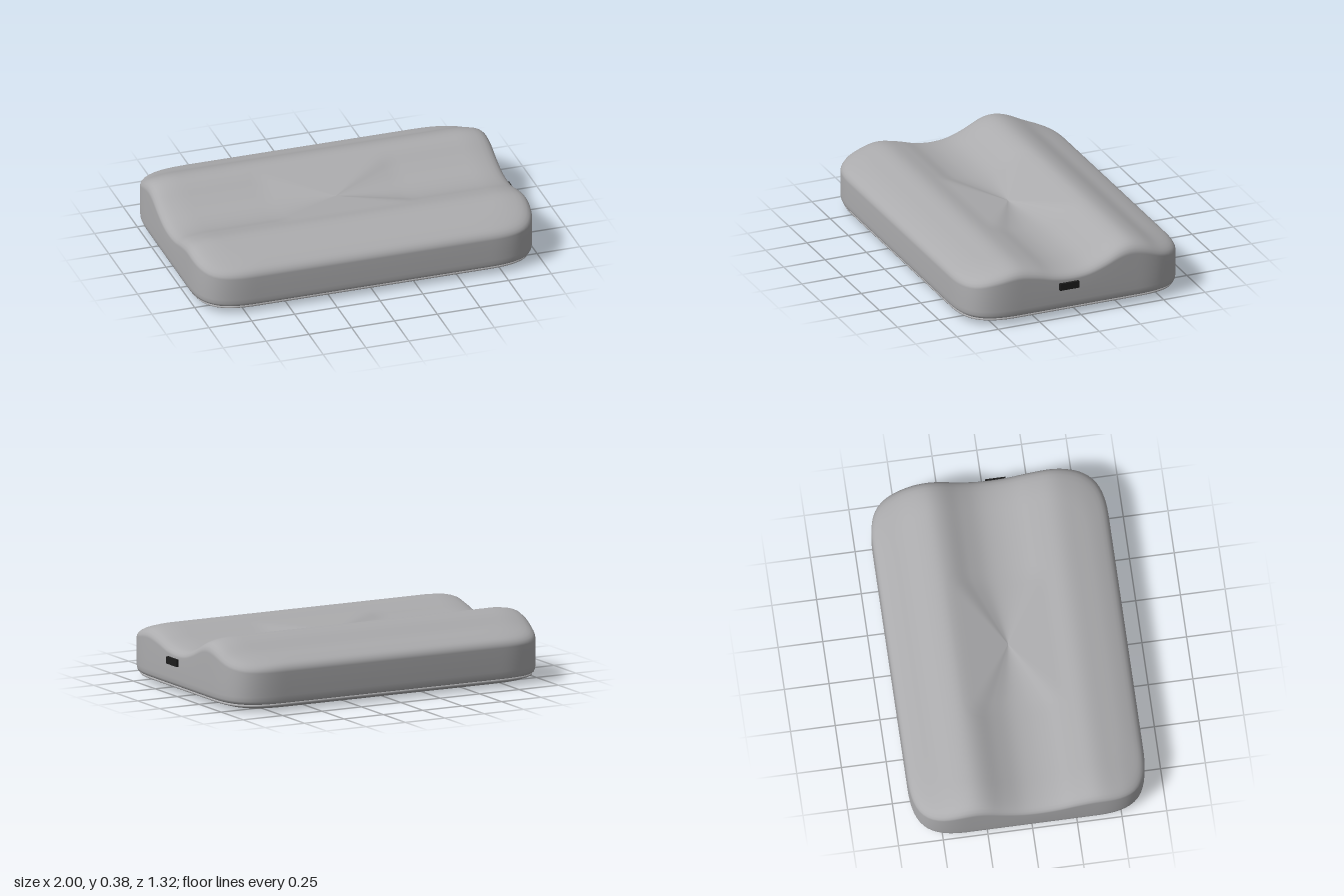
import * as THREE from 'three';

const HALF_X = 0.992, HALF_Z = 0.66, CENTER_X = -0.007;
const SEGMENTS = 200;

// Height of the cushion along z: tall back lobe, valley, lower front lobe
const PROFILE = [
  [-0.67, 0.278], [-0.6, 0.287], [-0.5, 0.315], [-0.4, 0.36], [-0.32, 0.378], [-0.25, 0.364],
  [-0.15, 0.313], [-0.05, 0.276], [0.05, 0.267], [0.15, 0.28], [0.25, 0.311],
  [0.37, 0.333], [0.5, 0.309], [0.6, 0.282], [0.67, 0.268],
];

// Smooth cubic interpolation through the profile points
function profileHeight(z) {
  const p = PROFILE, last = p.length - 1;
  let i = 0;
  while (i < last - 1 && z > p[i + 1][0]) i++;
  const slope = (k) => {
    const a = p[Math.max(k - 1, 0)], b = p[Math.min(k + 1, last)];
    return (b[1] - a[1]) / (b[0] - a[0]);
  };
  const w = p[i + 1][0] - p[i][0];
  const t = THREE.MathUtils.clamp((z - p[i][0]) / w, 0, 1);
  const t2 = t * t, t3 = t2 * t;
  return (2 * t3 - 3 * t2 + 1) * p[i][1] + (t3 - 2 * t2 + t) * w * slope(i)
    + (3 * t2 - 2 * t3) * p[i + 1][1] + (t3 - t2) * w * slope(i + 1);
}

// Rounded rectangular plan with soft, gradual corners
function planOutline() {
  const X = HALF_X, Z = HALF_Z, d = 0.3, c = 0.075;
  const s = new THREE.Shape();
  s.moveTo(X, 0);
  s.lineTo(X, Z - d);
  s.bezierCurveTo(X, Z - c, X - c, Z, X - d, Z);
  s.lineTo(-X + d, Z);
  s.bezierCurveTo(-X + c, Z, -X, Z - c, -X, Z - d);
  s.lineTo(-X, -Z + d);
  s.bezierCurveTo(-X, -Z + c, -X + c, -Z, -X + d, -Z);
  s.lineTo(X - d, -Z);
  s.bezierCurveTo(X - c, -Z, X, -Z + c, X, -Z + d);
  s.lineTo(X, 0);
  return s.getSpacedPoints(SEGMENTS).slice(0, SEGMENTS);
}

// Skin over scaled copies of the plan; each ring is [scale, height or height(z, outlinePoint)]
function ringShell(outline, rings) {
  const positions = [], index = [], n = outline.length;
  rings.forEach(([scale, height], r) => {
    outline.forEach((p, i) => {
      const z = p.y * scale;
      positions.push(p.x * scale + CENTER_X, typeof height === 'number' ? height : height(z, p), z);
      if (r === rings.length - 1) return;
      const a = r * n + i, b = r * n + (i + 1) % n;
      if (scale > 0) index.push(a, a + n, b);
      if (rings[r + 1][0] > 0) index.push(b, a + n, b + n);
    });
  });
  const g = new THREE.BufferGeometry();
  g.setAttribute('position', new THREE.Float32BufferAttribute(positions, 3));
  g.setIndex(index);
  g.computeVertexNormals();
  return g;
}

export function createModel() {
  const group = new THREE.Group();
  const fabric = new THREE.MeshStandardMaterial({ color: 0xacacae });
  fabric.name = 'grey fabric';
  const black = new THREE.MeshStandardMaterial({ color: 0x1c1c1c });
  black.name = 'black label';

  const add = (name, geometry, material) => {
    const m = new THREE.Mesh(geometry, material);
    m.name = name;
    group.add(m);
    return m;
  };
  const outline = planOutline();

  // Cushion: side wall, rounded rim, contoured top
  const wall = [[0.968, 0.046], [0.984, 0.047], [0.993, 0.053], [0.998, 0.066], [1, 0.09], [1, 0.15]];
  const rim = [[1, 0.8], [0.997, 0.845], [0.988, 0.89], [0.972, 0.93], [0.95, 0.957], [0.92, 0.978],
    [0.88, 0.992], [0.84, 1]].map(([s, k]) => [s, (z) => profileHeight(z) * k]);
  const top = [];
  for (let s = 0.8; s > 0.4; s -= 0.04) top.push([s, profileHeight]);
  // Dimple in the middle: straight slopes from an inner ring to a single point
  const inner = 0.39, middle = 0.28;
  for (let k = 8; k >= 0; k--) {
    const t = k / 8;
    top.push([inner * t, (z, p) => THREE.MathUtils.lerp(middle, profileHeight(p.y * inner), t)]);
  }
  add('cushion', ringShell(outline, [...wall, ...rim, ...top]), fabric);

  // Piping around the lower edge
  add('piping', ringShell(outline, [[0.962, 0.031], [0.976, 0.031], [0.982, 0.034], [0.984, 0.038],
    [0.982, 0.043], [0.976, 0.046], [0.962, 0.047]]), fabric);

  // Gently bulging underside
  add('underside', ringShell(outline, [[0, 0], [0.4, 0], [0.6, 0.001], [0.72, 0.003], [0.82, 0.007],
    [0.89, 0.012], [0.94, 0.019], [0.965, 0.027], [0.97, 0.034]]), fabric);

  // Small label on the side
  add('sideLabel', new THREE.BoxGeometry(0.03, 0.04, 0.115), black).position.set(0.985, 0.185, 0.068);

  return group;
}
